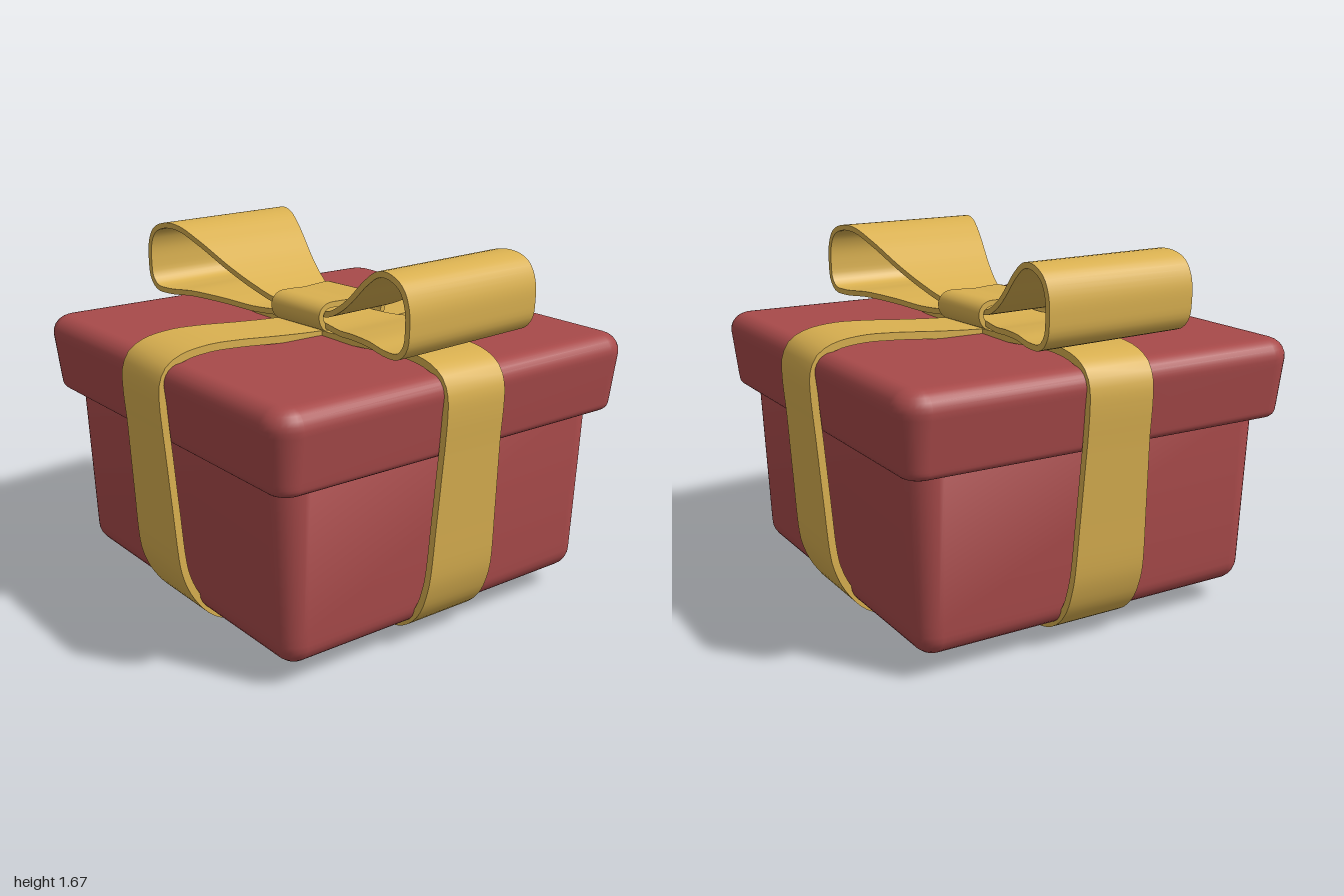
import * as THREE from 'three';

const red = new THREE.MeshStandardMaterial({ color: 0xa84a4a });
const gold = new THREE.MeshStandardMaterial({ color: 0xd9b050 });

function toGeometry(positions, indices) {
  const g = new THREE.BufferGeometry();
  g.setAttribute('position', new THREE.Float32BufferAttribute(positions, 3));
  g.setIndex(indices);
  g.computeVertexNormals();
  return g;
}

function addMesh(parent, name, geometry, material) {
  const mesh = new THREE.Mesh(geometry, material);
  mesh.name = name;
  parent.add(mesh);
  return mesh;
}

// Quarter arc of [offset, height] points
function arc(cx, cy, r, from, to, n = 6) {
  return Array.from({ length: n + 1 }, (_, i) => {
    const a = from + (to - from) * i / n;
    return [cx + r * Math.cos(a), cy + r * Math.sin(a)];
  });
}

// Soft square block: a square core grown outwards by each [offset, height] of the profile, bottom to top
function softBlock(core, profile) {
  const pos = [], idx = [], steps = 8, ring = 4 * (steps + 1);
  for (const [r, y] of profile) {
    for (let c = 0; c < 4; c++) {
      const mid = Math.PI / 4 + c * Math.PI / 2;
      for (let s = 0; s <= steps; s++) {
        const a = c * Math.PI / 2 + s / steps * Math.PI / 2;
        pos.push(Math.sign(Math.cos(mid)) * core + r * Math.cos(a), y,
          Math.sign(Math.sin(mid)) * core + r * Math.sin(a));
      }
    }
  }
  for (let i = 0; i < profile.length - 1; i++) {
    for (let j = 0; j < ring; j++) {
      const a = i * ring + j, b = i * ring + (j + 1) % ring;
      idx.push(a, a + ring, b, b, a + ring, b + ring);
    }
  }
  // Flat bottom and top
  const q = steps + 1, t = (profile.length - 1) * ring;
  idx.push(0, q, 2 * q, 0, 2 * q, 3 * q);
  idx.push(t, t + 2 * q, t + q, t, t + 3 * q, t + 2 * q);
  return toGeometry(pos, idx);
}

// Flat strip with thickness, following an anticlockwise path in x and y; its width runs along z
function ribbon(points, closed, thickness, halfWidth, n) {
  const curve = new THREE.CatmullRomCurve3(points.map(([x, y]) => new THREE.Vector3(x, y, 0)), closed);
  const pos = [], idx = [], rows = closed ? n : n + 1, h = thickness / 2;
  const corners = [[h, -1], [h, 1], [-h, 1], [-h, -1]];
  for (let i = 0; i < rows; i++) {
    const p = curve.getPointAt(i / n), t = curve.getTangentAt(i / n), w = halfWidth(p.x, p.y);
    for (let k = 0; k < 4; k++) {
      for (const [o, side] of [corners[k], corners[(k + 1) % 4]]) {
        pos.push(p.x + t.y * o, p.y - t.x * o, side * w);
      }
    }
  }
  for (let i = 0; i < n; i++) {
    for (let k = 0; k < 4; k++) {
      const a = i * 8 + k * 2, b = ((i + 1) % rows) * 8 + k * 2;
      idx.push(a, b, b + 1, a, b + 1, a + 1);
    }
  }
  return toGeometry(pos, idx);
}

// Completes a right-hand half path (bottom centre to top centre) with its mirror image
const mirrored = half => [...half, ...half.slice(1, -1).reverse().map(([x, y]) => [-x, y])];

export function createModel() {
  const model = new THREE.Group();
  model.name = 'giftBox';
  const q = Math.PI / 2;

  // Box and overhanging lid
  addMesh(model, 'box', softBlock(0.75, [...arc(0, 0.2, 0.1, -q, 0), [0.102, 0.25], [0.13, 0.95], [0, 0.95]]), red);
  addMesh(model, 'lid', softBlock(0.85, [[0, 0.9], ...arc(0.055, 0.94, 0.04, -q, 0), [0.098, 0.96],
    [0.12, 1.15], ...arc(0.04, 1.175, 0.083, 0, q), [0, 1.258]]), red);

  // Two ribbons wrapped around the box, slightly wider low down
  const sidesAndTop = [[0.925, 0.36], [0.945, 0.62], [0.966, 0.92], [0.98, 1.1], [0.977, 1.18], [0.948, 1.24],
    [0.88, 1.278], [0.75, 1.297], [0.6, 1.293], [0.4, 1.277], [0.2, 1.264], [0, 1.26]];
  const wrapWidth = (x, y) => 0.158 + 0.022 * THREE.MathUtils.clamp((0.95 - y) / 0.65, 0, 1);
  const crossBottom = [[0, 0.088], [0.25, 0.081], [0.5, 0.064], [0.68, 0.064], [0.79, 0.105], [0.87, 0.19], [0.91, 0.29]];
  const lengthBottom = [[0, 0.045], [0.25, 0.037], [0.45, 0.024], [0.62, 0.024], [0.77, 0.08], [0.865, 0.19], [0.91, 0.29]];
  addMesh(model, 'sideRibbon', ribbon(mirrored([...crossBottom, ...sidesAndTop]), true, 0.034, wrapWidth, 160), gold);
  addMesh(model, 'frontRibbon', ribbon(mirrored([...lengthBottom, ...sidesAndTop]), true, 0.034, wrapWidth, 160), gold)
    .rotation.y = q;

  // Bow, turned a little on the lid
  const bow = new THREE.Group();
  bow.name = 'bow';
  bow.rotation.y = 0.075;
  model.add(bow);
  const loopPath = [[0, 1.32], [0.15, 1.307], [0.3, 1.305], [0.45, 1.325], [0.62, 1.34], [0.76, 1.335], [0.84, 1.345],
    [0.88, 1.39], [0.89, 1.46], [0.885, 1.55], [0.85, 1.62], [0.78, 1.653], [0.69, 1.648], [0.58, 1.59],
    [0.42, 1.48], [0.3, 1.41], [0.18, 1.36], [0, 1.345]];
  const loopWidth = x => 0.15 + 0.23 * THREE.MathUtils.smoothstep(x, 0.02, 0.9);
  const loopGeometry = ribbon(loopPath, false, 0.026, loopWidth, 96);
  addMesh(bow, 'leftBowLoop', loopGeometry, gold);
  addMesh(bow, 'rightBowLoop', loopGeometry, gold).rotation.y = Math.PI;

  // Band holding the loops together
  const knotPath = mirrored([[0, 1.275], [0.1, 1.278], [0.165, 1.295], [0.19, 1.335], [0.185, 1.37], [0.155, 1.392], [0.08, 1.394], [0, 1.39]]);
  addMesh(bow, 'knot', ribbon(knotPath, true, 0.026, () => 0.167, 64), gold).rotation.y = q;

  return model;
}
